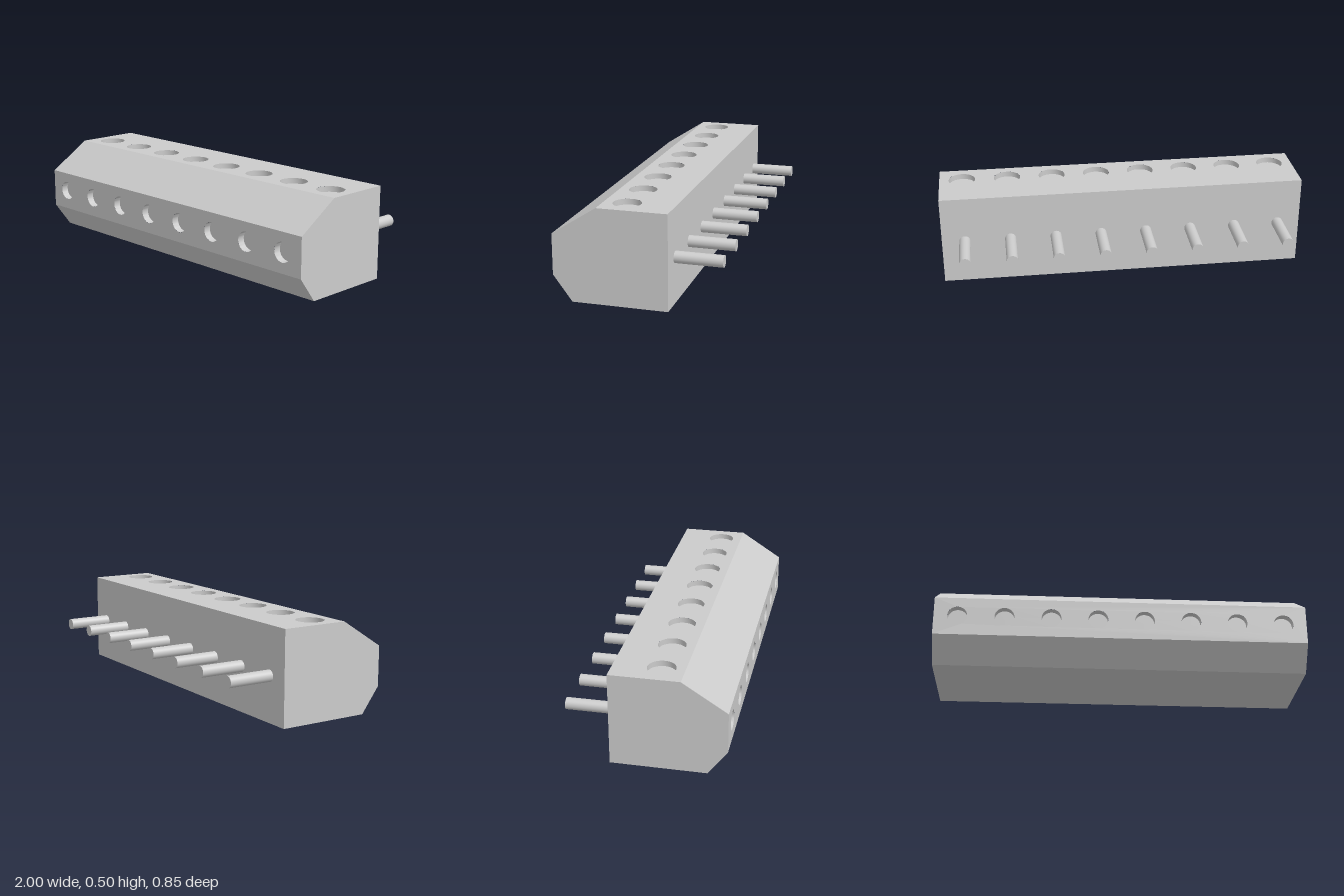
import * as THREE from 'three';
import { toCreasedNormals } from 'three/addons/utils/BufferGeometryUtils.js';

const COUNT = 8, PITCH = 0.25, LENGTH = 2, SEGMENTS = 32;
const material = new THREE.MeshStandardMaterial({ color: 0xcccccc });
const stationX = (i) => (i - (COUNT - 1) / 2) * PITCH;

// Side profile of the housing as [z, y]; each wall runs from its corner to the next.
const walls = [
  { name: 'topWall', at: [0.19, 0.5], hole: { v: 0.12, r: 0.073, depth: 0.03 } },
  { name: 'backWall', at: [-0.175, 0.5] },
  { name: 'bottomWall', at: [-0.175, 0] },
  { name: 'lowerChamfer', at: [0.325, 0] },
  { name: 'frontWall', at: [0.425, 0.135], hole: { v: 0.11, r: 0.053, depth: 0.04 } },
  { name: 'upperChamfer', at: [0.425, 0.35] },
];

function addMesh(parent, name, geometry) {
  const mesh = new THREE.Mesh(geometry, material);
  mesh.name = name;
  parent.add(mesh);
  return mesh;
}

// Shallow round pocket opening towards +z
function recessGeometry({ r, depth }) {
  const points = [[r, 0], [r, -depth], [0, -depth]].map((p) => new THREE.Vector2(...p));
  return toCreasedNormals(new THREE.LatheGeometry(points, SEGMENTS).rotateX(Math.PI / 2), 0.6);
}

// Flat strip along x, drilled with a row of pockets where asked
function createWall({ name, at, hole }, next) {
  const wall = new THREE.Group();
  wall.name = name;
  const start = new THREE.Vector3(0, at[1], at[0]);
  const up = new THREE.Vector3(0, next[1], next[0]).sub(start);
  const width = up.length(), half = LENGTH / 2;
  up.normalize();

  const shape = new THREE.Shape([[-half, 0], [half, 0], [half, width], [-half, width]]
    .map((p) => new THREE.Vector2(...p)));
  if (hole) {
    const pocket = recessGeometry(hole);
    for (let i = 0; i < COUNT; i++) {
      shape.holes.push(new THREE.Path().absarc(stationX(i), hole.v, hole.r, 0, Math.PI * 2, true));
      addMesh(wall, 'terminalRecess', pocket).position.set(stationX(i), hole.v, 0);
    }
  }
  addMesh(wall, name + 'Panel', new THREE.ShapeGeometry(shape, SEGMENTS));

  const along = new THREE.Vector3(1, 0, 0);
  const normal = new THREE.Vector3().crossVectors(along, up);
  wall.quaternion.setFromRotationMatrix(new THREE.Matrix4().makeBasis(along, up, normal));
  wall.position.copy(start);
  return wall;
}

export function createModel() {
  const model = new THREE.Group();
  model.name = 'terminalBlock';

  // Housing walls around the profile
  const housing = new THREE.Group();
  housing.name = 'housing';
  model.add(housing);
  walls.forEach((wall, i) => housing.add(createWall(wall, walls[(i + 1) % walls.length].at)));

  // End caps
  for (const side of [-1, 1]) {
    const outline = new THREE.Shape(walls.map(({ at }) => new THREE.Vector2(-side * at[0], at[1])));
    const cap = new THREE.ShapeGeometry(outline).rotateY(side * Math.PI / 2);
    addMesh(housing, side > 0 ? 'leftEnd' : 'rightEnd', cap).position.x = side * LENGTH / 2;
  }

  // Round pins out of the back
  const pin = new THREE.CylinderGeometry(0.031, 0.031, 0.25, SEGMENTS).rotateX(Math.PI / 2);
  for (let i = 0; i < COUNT; i++) {
    addMesh(model, 'pin', pin).position.set(stationX(i), 0.244, -0.3);
  }
  return model;
}
